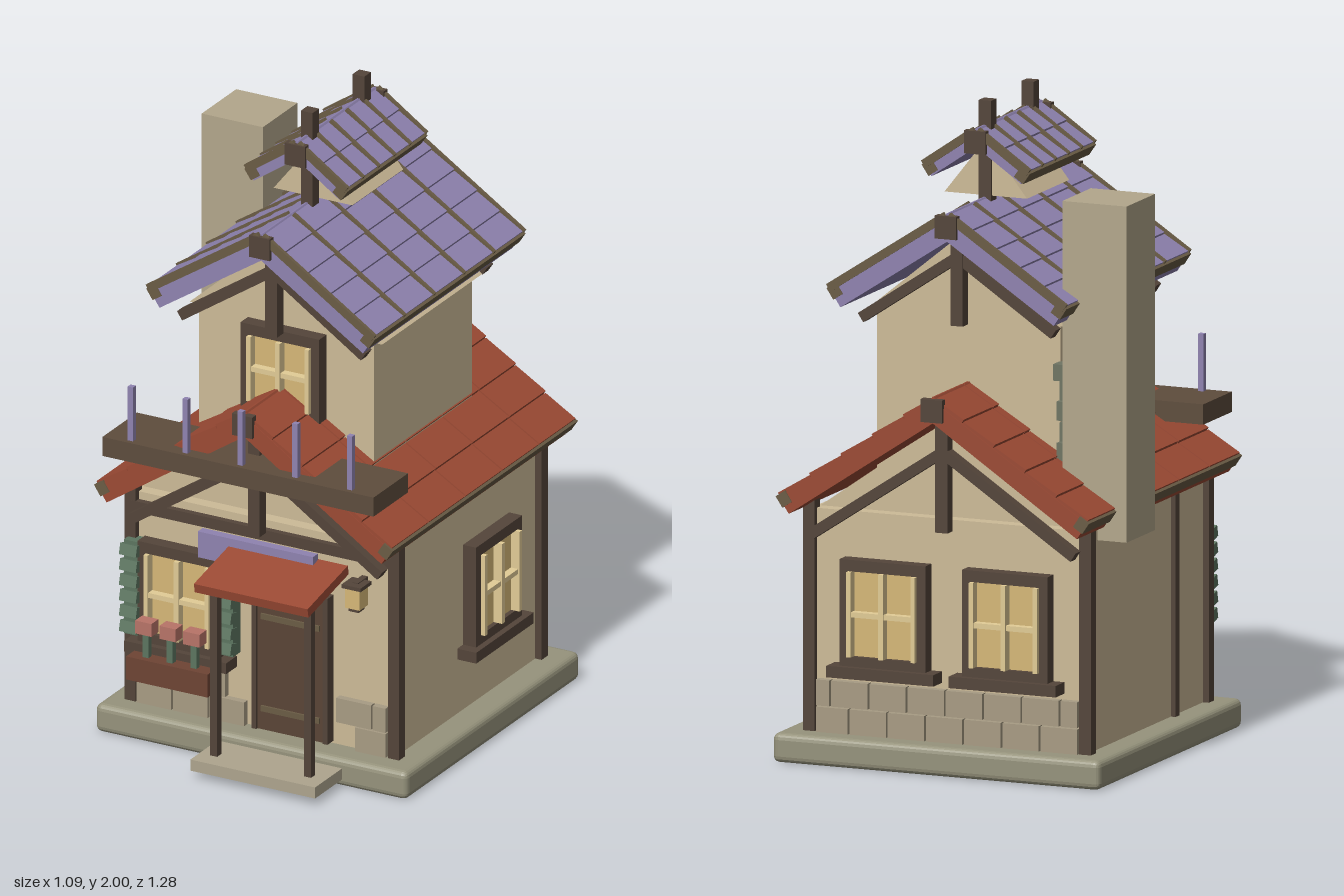
import * as THREE from 'three';
import { RoundedBoxGeometry } from 'three/addons/geometries/RoundedBoxGeometry.js';

const ZC = -0.065; // centre of the house in z
const mat = (color) => new THREE.MeshStandardMaterial({ color, flatShading: true });
const M = {
  wall: mat(0xcdbb98), wood: mat(0x54453a), olive: mat(0x6a5c45), balcony: mat(0x5e4d3d),
  stone: mat(0x96937c), block: mat(0xa89c84), chimney: mat(0xb3a78c), red: mat(0x9c4a34),
  purple: mat(0x8f83b0), glass: mat(0xd6b878), bar: mat(0xe2cc96), green: mat(0x5c7560),
  door: mat(0x5a4536), planter: mat(0x6e4434), pink: mat(0xb87468), step: mat(0xaea58e), grey: mat(0x6f7563),
};

// Box given by its limits on each axis
function box(parent, name, material, x0, x1, y0, y1, z0, z1) {
  const m = new THREE.Mesh(new THREE.BoxGeometry(x1 - x0, y1 - y0, z1 - z0), material);
  m.position.set((x0 + x1) / 2, (y0 + y1) / 2, (z0 + z1) / 2);
  m.name = name;
  parent.add(m);
  return m;
}

function group(parent, name, x = 0, y = 0, z = 0, ry = 0) {
  const g = new THREE.Group();
  g.name = name;
  g.position.set(x, y, z);
  g.rotation.y = ry;
  parent.add(g);
  return g;
}

// Triangular prism along z
function gable(parent, name, half, y0, y1, z0, z1) {
  const s = new THREE.Shape([new THREE.Vector2(-half, y0), new THREE.Vector2(half, y0), new THREE.Vector2(0, y1)]);
  const m = new THREE.Mesh(new THREE.ExtrudeGeometry(s, { depth: z1 - z0, bevelEnabled: false }), M.wall);
  m.position.z = z0;
  m.name = name;
  parent.add(m);
}

// Two tiled slopes with eave bars, ribs at the tile columns and ridge end blocks
function roof(parent, name, color, { ridge, half, eave, len, t, rows, cols, rib, end }) {
  const g = group(parent, name, 0, ridge, ZC);
  const L = Math.hypot(half, ridge - eave), a = Math.atan2(ridge - eave, half), h = len / 2;
  for (const s of [-1, 1]) {
    const slope = group(g, 'slope');
    slope.rotation.z = -s * a;
    const part = (n, m, a0, a1, ...r) => box(slope, n, m, Math.min(s * a0, s * a1), Math.max(s * a0, s * a1), ...r);
    part('deck', color, 0, L, -t, -0.012, -h, h);
    const dr = L / rows, dc = len / cols;
    for (let i = 0; i < rows; i++) {
      for (let j = 0; j < cols; j++) {
        const tile = part('tile', color, i * dr, (i + 1) * dr - 0.003, -0.016, -0.002, -h + j * dc + 0.003, -h + (j + 1) * dc - 0.003);
        tile.rotation.z = s * 0.05;
      }
    }
    part('eaveBar', M.olive, L - 0.03, L + 0.006, -0.045, -0.005, -h - 0.004, h + 0.004);
    if (rib) for (let j = 0; j <= cols; j++) {
      const z = -h + j * dc;
      part('rib', M.olive, 0.01, L, -0.02, 0.006, z - 0.006, z + 0.006);
    }
  }
  for (const s of [-1, 1]) box(g, 'ridgeEnd', M.wood, -end, end, -0.08, -0.01, s * h - 0.012, s * h + 0.012);
}

// Window facing +z: centre at origin
function windowUnit(parent, x, y, z, ry, w, h, sill) {
  const g = group(parent, 'window', x, y, z, ry), f = 0.035, a = w / 2, b = h / 2;
  for (const s of [-1, 1]) {
    box(g, 'frameSide', M.wood, s * (a - f / 2) - f / 2, s * (a - f / 2) + f / 2, -b, b, 0, 0.045);
    box(g, 'frameRail', M.wood, -a + f, a - f, s * (b - f / 2) - f / 2, s * (b - f / 2) + f / 2, 0, 0.045);
    box(g, 'sashSide', M.bar, s * (a - f) - 0.007, s * (a - f) + 0.007, -b + f, b - f, 0.03, 0.06);
  }
  box(g, 'pane', M.glass, -a + f, a - f, -b + f, b - f, 0, 0.03);
  box(g, 'mullion', M.bar, -0.008, 0.008, -b + f, b - f, 0.03, 0.06);
  box(g, 'crossbar', M.bar, -a + f, a - f, -0.008, 0.008, 0.03, 0.055);
  if (sill) box(g, 'sill', M.wood, -a - 0.035, a + 0.035, -b - 0.03, -b + 0.005, 0, 0.065);
}

// Sloped gable braces with a king post
function braces(parent, name, half, y0, y1, postY0, postY1, z) {
  const g = group(parent, name, 0, 0, z), L = Math.hypot(half, y1 - y0);
  for (const s of [-1, 1]) {
    const b = box(g, 'brace', M.wood, -L / 2, L / 2, -0.016, 0.016, -0.018, 0.018);
    b.position.set(s * half / 2, (y0 + y1) / 2, 0);
    b.rotation.z = -s * Math.atan2(y1 - y0, half);
  }
  box(g, 'kingPost', M.wood, -0.02, 0.02, postY0, postY1, -0.02, 0.02);
}

export function createModel() {
  const house = new THREE.Group();
  house.name = 'house';

  // Plinth and storeys
  const plinth = new THREE.Mesh(new RoundedBoxGeometry(1.07, 0.09, 1.06, 2, 0.02), M.stone);
  plinth.position.set(0.005, 0.047, ZC);
  plinth.name = 'plinth';
  house.add(plinth);
  box(house, 'lowerWalls', M.wall, -0.45, 0.45, 0.08, 0.77, -0.5, 0.37);
  gable(house, 'lowerGable', 0.44, 0.77, 1.08, -0.46, 0.33);
  box(house, 'upperWalls', M.wall, -0.3, 0.3, 0.85, 1.36, -0.36, 0.235);
  gable(house, 'upperGable', 0.33, 1.36, 1.63, -0.37, 0.24);
  gable(house, 'cupola', 0.135, 1.71, 1.88, -0.235, 0.075);

  // Roofs
  roof(house, 'lowerRoof', M.red, { ridge: 1.17, half: 0.51, eave: 0.83, len: 1.12, t: 0.07, rows: 5, cols: 5, end: 0.035 });
  roof(house, 'upperRoof', M.purple, { ridge: 1.71, half: 0.39, eave: 1.455, len: 0.91, t: 0.075, rows: 5, cols: 5, rib: true, end: 0.035 });
  roof(house, 'cupolaRoof', M.purple, { ridge: 1.93, half: 0.175, eave: 1.81, len: 0.48, t: 0.05, rows: 2, cols: 5, rib: true, end: 0.035 });
  for (const z of [0.093, -0.222]) box(house, 'finial', M.wood, -0.02, 0.02, 1.66, 2, z - 0.02, z + 0.02);

  // Timber frame
  for (const x of [-0.45, 0.453]) for (const z of [0.37, -0.498])
    box(house, 'cornerPost', M.wood, x - 0.019, x + 0.019, 0.09, 0.8, z - 0.019, z + 0.019);
  box(house, 'sidePost', M.wood, -0.465, -0.44, 0.09, 0.8, 0.115, 0.145);
  box(house, 'frontBeam', M.wood, -0.45, 0.45, 0.71, 0.745, 0.36, 0.39);
  for (const z of [0.415, -0.543]) braces(house, 'lowerBraces', 0.43, 0.7, 0.985, 0.74, 1.1, z);
  for (const z of [0.31, -0.43]) braces(house, 'upperBraces', 0.315, 1.35, 1.56, 1.35, 1.65, z);

  // Stone courses on the front and back walls
  for (let r = 0; r < 2; r++) for (let i = -1; i < 7; i++) {
    const x0 = Math.max(-0.43, -0.43 + i * 0.125 + r * 0.06), x1 = Math.min(0.43, -0.43 + (i + 1) * 0.125 + r * 0.06);
    if (x1 - x0 < 0.02) continue;
    const y = 0.09 + r * 0.083;
    box(house, 'backStone', M.block, x0 + 0.003, x1 - 0.003, y, y + 0.079, -0.525, -0.49);
    if (x1 < -0.04 || x0 > 0.24) box(house, 'frontStone', M.block, x0 + 0.003, x1 - 0.003, y, y + 0.079, 0.36, 0.392);
  }

  // Windows
  windowUnit(house, -0.27, 0.465, 0.37, 0, 0.28, 0.33, true);
  windowUnit(house, 0.45, 0.463, -0.18, Math.PI / 2, 0.28, 0.33, true);
  for (const x of [-0.2, 0.2]) windowUnit(house, x, 0.465, -0.5, Math.PI, 0.28, 0.33, true);
  windowUnit(house, 0.002, 1.21, 0.235, 0, 0.27, 0.28, false);

  // Louvred shutters
  for (const x of [-0.432, -0.108]) {
    const g = group(house, 'shutter', x, 0.32, 0.4);
    box(g, 'panel', M.green, -0.025, 0.025, 0, 0.305, -0.03, 0.015);
    for (let i = 0; i < 6; i++)
      box(g, 'louvre', M.green, -0.029, 0.029, 0.01 + i * 0.05, 0.045 + i * 0.05, 0, 0.035).rotation.x = -0.25;
  }

  // Flower box
  box(house, 'flowerBox', M.planter, -0.41, -0.13, 0.205, 0.28, 0.42, 0.485);
  for (const x of [-0.355, -0.272, -0.19]) {
    box(house, 'stem', M.green, x - 0.01, x + 0.01, 0.28, 0.36, 0.445, 0.465);
    box(house, 'flower', M.pink, x - 0.028, x + 0.028, 0.358, 0.4, 0.435, 0.478);
  }

  // Door
  const door = group(house, 'door', 0.107, 0.1, 0.37);
  box(door, 'leaf', M.door, -0.115, 0.115, 0, 0.46, 0, 0.03);
  for (const s of [-1, 1]) box(door, 'jamb', M.wood, s * 0.122 - 0.008, s * 0.122 + 0.008, 0, 0.475, 0, 0.038);
  box(door, 'lintel', M.wood, -0.13, 0.13, 0.46, 0.475, 0, 0.038);
  for (const y of [0.07, 0.37]) box(door, 'strap', M.olive, -0.1, 0.1, y - 0.009, y + 0.009, 0.03, 0.037);
  box(door, 'handle', M.glass, 0.062, 0.082, 0.21, 0.23, 0.03, 0.05);

  // Porch
  box(house, 'step', M.step, -0.108, 0.32, 0.027, 0.063, 0.4, 0.63);
  for (const x of [-0.06, 0.262]) box(house, 'porchPost', M.wood, x - 0.012, x + 0.012, 0.06, 0.64, 0.548, 0.573);
  box(house, 'canopy', M.red, -0.09, 0.3, 0.638, 0.668, 0.39, 0.64).rotation.x = 0.2;
  box(house, 'canopyBeam', M.red, -0.075, 0.285, 0.615, 0.64, 0.54, 0.58);
  box(house, 'signBoard', M.purple, -0.195, 0.2, 0.628, 0.712, 0.4, 0.43);

  // Lantern
  box(house, 'lanternBracket', M.wood, 0.335, 0.355, 0.645, 0.66, 0.37, 0.43);
  box(house, 'lanternCap', M.wood, 0.312, 0.378, 0.645, 0.657, 0.39, 0.455);
  box(house, 'lanternLight', M.glass, 0.32, 0.37, 0.58, 0.645, 0.397, 0.448);
  box(house, 'lanternFoot', M.wood, 0.328, 0.362, 0.568, 0.58, 0.405, 0.44);

  // Balcony with rail posts
  box(house, 'balcony', M.balcony, -0.46, 0.47, 0.943, 1.005, 0.33, 0.54);
  for (let i = -2; i <= 2; i++)
    box(house, 'railPost', M.purple, i * 0.188 - 0.006, i * 0.188 + 0.012, 1, 1.18, 0.507, 0.525);

  // Chimney with stone brace
  box(house, 'chimney', M.chimney, -0.545, -0.335, 0.73, 1.755, -0.425, -0.215);
  for (let i = 0; i < 4; i++)
    box(house, 'chimneyStone', M.grey, -0.335, i % 2 ? -0.31 : -0.3, 0.95 + i * 0.063, 1.008 + i * 0.063, -0.39, -0.34);
  box(house, 'chimneyStoneCap', M.grey, -0.345, -0.295, 1.2, 1.25, -0.405, -0.33);

  return house;
}
